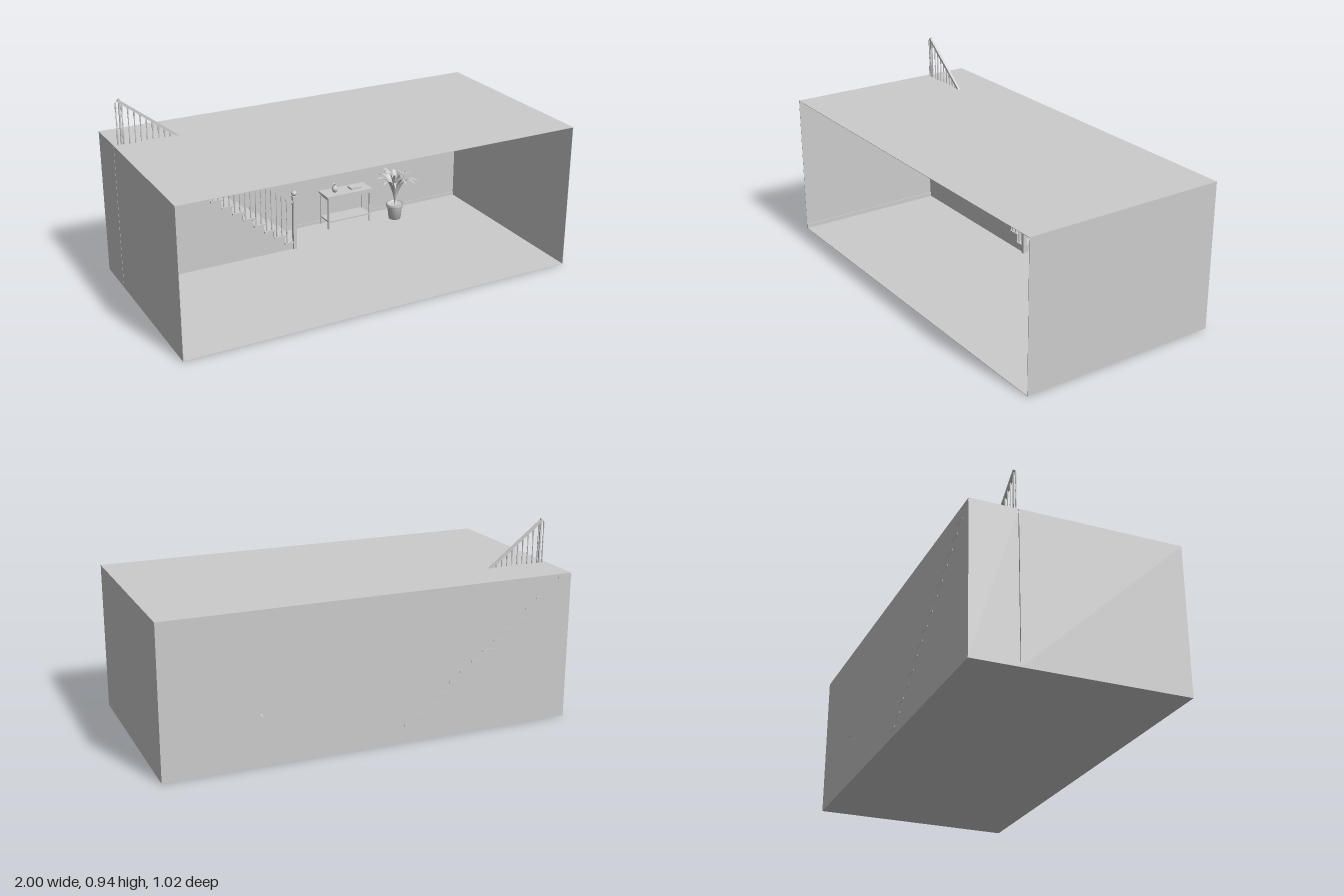
import * as THREE from 'three';

const grey = new THREE.MeshStandardMaterial({ color: 0xcccccc, side: THREE.DoubleSide });
grey.name = 'plain grey';

const STEPS = 16, RISE = 0.0442, RUN = 0.056, STAIR_X = -0.096;
const BACK = -0.485, FRONT = 0.51, RAIL_Z = -0.265, HEIGHT = 0.718;

function add(parent, name, geometry, x = 0, y = 0, z = 0) {
  const mesh = new THREE.Mesh(geometry, grey);
  mesh.name = name;
  mesh.position.set(x, y, z);
  parent.add(mesh);
  return mesh;
}

// Box given by its minimum and maximum corners
function box(parent, name, x0, x1, y0, y1, z0, z1) {
  return add(parent, name, new THREE.BoxGeometry(x1 - x0, y1 - y0, z1 - z0),
    (x0 + x1) / 2, (y0 + y1) / 2, (z0 + z1) / 2);
}

function lathe(points, sides) {
  return new THREE.LatheGeometry(points.map(([r, y]) => new THREE.Vector2(r, y)), sides);
}

function group(parent, name) {
  const g = new THREE.Group();
  g.name = name;
  parent.add(g);
  return g;
}

// Thin room shell, open at the front
function buildRoom(root) {
  const room = group(root, 'room');
  const t = 0.002;
  box(room, 'floor', -1, 1, 0, t, BACK, FRONT);
  box(room, 'ceiling', -1, 1, HEIGHT - t, HEIGHT, BACK, FRONT);
  box(room, 'backWall', -1, 1, 0, HEIGHT, BACK, BACK + t);
  box(room, 'leftWall', 1 - t, 1, 0, HEIGHT, BACK, FRONT);
  box(room, 'rightWall', -1, -1 + t, 0, HEIGHT, RAIL_Z + 0.003, FRONT);
  box(room, 'stairwellWall', -1, -1 + t, 0, HEIGHT, BACK, RAIL_Z);
  box(room, 'rightSkirting', -1, -0.993, 0, 0.024, RAIL_Z, FRONT);
  box(room, 'backSkirting', STAIR_X, 1, 0, 0.02, BACK, BACK + 0.006);
}

function railHeight(x) {
  return 0.257 + (-0.1 - x) * 0.775;
}

function buildStairs(root) {
  const stairs = group(root, 'stairs');

  // Stepped wall closing the side of the flight
  const side = new THREE.Shape();
  side.moveTo(-1, 0);
  side.lineTo(STAIR_X, 0);
  for (let i = 0; i < STEPS; i++) {
    const x = STAIR_X - RUN * i, y = RISE * (i + 1);
    side.lineTo(x, y);
    side.lineTo(i === STEPS - 1 ? -1 : x - RUN, y);
  }
  add(stairs, 'stairSideWall', new THREE.ShapeGeometry(side), 0, 0, RAIL_Z);

  // Treads with a small nosing, and risers
  for (let i = 0; i < STEPS; i++) {
    const x = STAIR_X - RUN * i, y = RISE * (i + 1);
    const left = i === STEPS - 1 ? -1 : x - RUN;
    box(stairs, 'tread', left, x + 0.007, y - 0.009, y, BACK - 0.002, RAIL_Z + 0.008);
    box(stairs, 'riser', x - 0.004, x, y - RISE, y - 0.009, BACK + 0.002, RAIL_Z + 0.002);
  }

  // Turned balusters, two on each tread
  const profile = [[0.004, 0], [0.004, 0.12], [0.002, 0.14], [0.0045, 0.2], [0.0035, 0.3], [0.0022, 0.46],
    [0.0035, 0.52], [0.0022, 0.56], [0.0025, 0.82], [0.004, 0.84], [0.004, 0.96], [0, 1]];
  const baluster = lathe(profile, 8);
  for (let i = 0; i < STEPS; i++) {
    for (const f of [0.25, 0.75]) {
      const x = STAIR_X - RUN * (i + f);
      if (x < -0.99 || (i === 0 && f < 0.5)) continue;
      const y = RISE * (i + 1);
      const top = Math.min(railHeight(x) + 0.004, 0.925);
      add(stairs, 'baluster', baluster, x, y, RAIL_Z).scale.y = top - y;
    }
  }

  // Sloping handrail
  const a = new THREE.Vector2(-0.1, railHeight(-0.1));
  const b = new THREE.Vector2(-0.968, railHeight(-0.968));
  const rail = add(stairs, 'handrail', new THREE.BoxGeometry(a.distanceTo(b), 0.012, 0.012),
    (a.x + b.x) / 2, (a.y + b.y) / 2, RAIL_Z);
  rail.rotation.z = Math.atan2(a.y - b.y, a.x - b.x);

  // Newel post with a ball
  box(stairs, 'newelPost', -0.105, -0.087, 0, 0.285, RAIL_Z - 0.009, RAIL_Z + 0.009);
  box(stairs, 'newelCap', -0.108, -0.084, 0.285, 0.293, RAIL_Z - 0.012, RAIL_Z + 0.012);
  add(stairs, 'newelBall', new THREE.SphereGeometry(0.014, 16, 12), -0.096, 0.306, RAIL_Z);
  box(stairs, 'topPost', -0.964, -0.957, 0.706, 0.936, RAIL_Z - 0.004, RAIL_Z + 0.004);
}

function buildTable(root) {
  const table = group(root, 'consoleTable');
  const z0 = -0.478, z1 = -0.386;
  box(table, 'tableTop', 0.152, 0.42, 0.18, 0.189, z0 - 0.004, z1 + 0.005);
  box(table, 'apron', 0.163, 0.41, 0.163, 0.18, z0, z1);
  box(table, 'lowerShelf', 0.163, 0.41, 0.039, 0.047, z0, z1);
  for (const x of [0.16, 0.405])
    for (const z of [z0, z1 - 0.008]) box(table, 'tableLeg', x, x + 0.008, 0, 0.18, z, z + 0.008);

  const vase = lathe([[0, 0], [0.009, 0], [0.015, 0.011], [0.016, 0.02], [0.011, 0.031],
    [0.006, 0.037], [0.007, 0.043], [0.009, 0.046]], 20);
  add(table, 'vase', vase, 0.222, 0.189, -0.432);
  box(table, 'book', 0.31, 0.372, 0.189, 0.198, -0.452, -0.412);
}

// Tapering arched leaf: two strips folded along a midrib
function leafGeometry(reach, rise, droop, width) {
  const n = 8, pos = [], index = [];
  for (let i = 0; i <= n; i++) {
    const t = i / n;
    const out = reach * Math.pow(t, 1.5);
    const y = rise * Math.sin(t * Math.PI * 0.6) / Math.sin(Math.PI * 0.5) - droop * t * t;
    const w = width * (0.15 + Math.sin(Math.PI * Math.pow(t, 1.3))) * (i === n ? 0 : 1);
    pos.push(out, y + w * 0.3, -w, out, y, 0, out, y + w * 0.3, w);
    if (i < n) for (const k of [0, 1]) {
      const a = i * 3 + k;
      index.push(a, a + 1, a + 3, a + 1, a + 4, a + 3);
    }
  }
  const g = new THREE.BufferGeometry();
  g.setAttribute('position', new THREE.Float32BufferAttribute(pos, 3));
  g.setIndex(index);
  g.computeVertexNormals();
  return g;
}

function buildPlant(root) {
  const plant = group(root, 'pottedPlant');
  plant.position.set(0.547, 0, -0.36);
  const pot = lathe([[0, 0], [0.032, 0], [0.04, 0.07], [0.045, 0.07], [0.046, 0.086],
    [0.04, 0.086], [0.038, 0.076], [0, 0.076]], 24);
  add(plant, 'pot', pot);

  // Outer ring of long leaves and inner ring of upright ones
  for (let i = 0; i < 12; i++) {
    const reach = i === 3 ? 0.15 : 0.105 + 0.025 * ((i * 5) % 4) / 3;
    const leaf = add(plant, 'outerLeaf',
      leafGeometry(reach, 0.17, i === 3 ? 0 : 0.015 * (i % 3), 0.009), 0, 0.078, 0);
    leaf.rotation.y = i * Math.PI / 6;
  }
  for (let i = 0; i < 7; i++) {
    const leaf = add(plant, 'innerLeaf',
      leafGeometry(0.05 + 0.01 * (i % 3), 0.185, 0, 0.008), 0, 0.078, 0);
    leaf.rotation.y = 0.3 + i * Math.PI * 2 / 7;
  }
}

export function createModel() {
  const root = new THREE.Group();
  root.name = 'stairHall';
  buildRoom(root);
  buildStairs(root);
  buildTable(root);
  buildPlant(root);
  return root;
}
